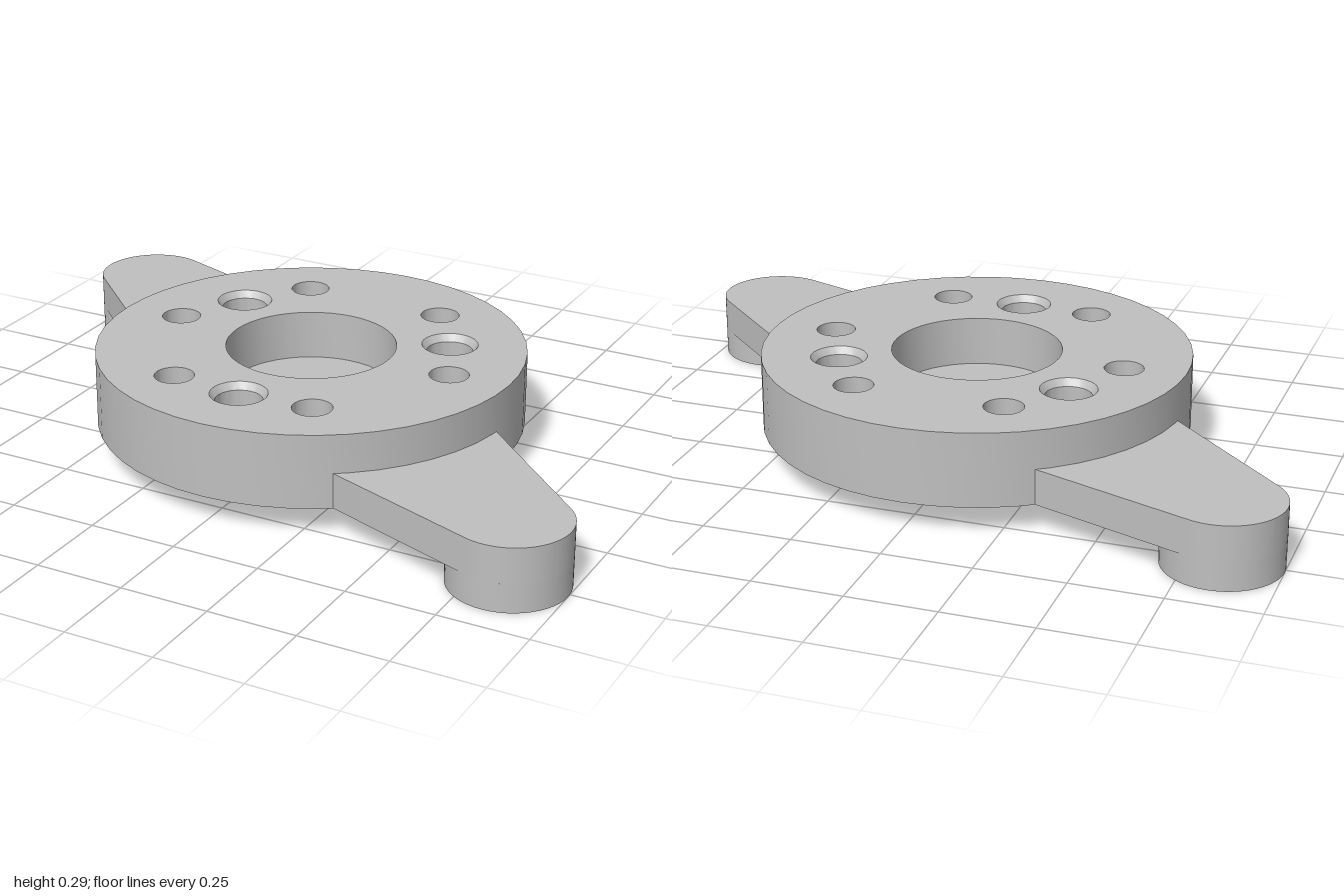
import * as THREE from 'three';
import { toCreasedNormals } from 'three/addons/utils/BufferGeometryUtils.js';

const TOP = 0.29, BASE = 0.08, ARM_TOP = 0.18, R = 0.603;
const rad = THREE.MathUtils.degToRad;

// Points [x, z] evenly spaced on a bolt circle
function boltCircle(count, radius, startDeg) {
  return Array.from({ length: count }, (_, i) => {
    const a = rad(startDeg + (i * 360) / count);
    return [radius * Math.cos(a), radius * Math.sin(a)];
  });
}

// Revolved surface; a rising profile faces outward, a falling one faces inward
function turned(profile, segments) {
  const points = profile.map(([r, y]) => new THREE.Vector2(r, y));
  return toCreasedNormals(new THREE.LatheGeometry(points, segments), 0.4);
}

// Round horizontal face with round openings given as [x, z, radius]
function face(openings, y, up) {
  const s = up ? -1 : 1;
  const shape = new THREE.Shape().absarc(0, 0, R, 0, Math.PI * 2, false);
  for (const [x, z, r] of openings) {
    shape.holes.push(new THREE.Path().absarc(x, s * z, r, 0, Math.PI * 2, true));
  }
  return new THREE.ShapeGeometry(shape, 24).rotateX((s * Math.PI) / 2).translate(0, y, 0);
}

export function createModel() {
  const metal = new THREE.MeshStandardMaterial({ color: 0xbfbfbf });
  metal.name = 'grey metal';
  const model = new THREE.Group();
  model.name = 'mountingHub';

  function add(parent, name, geometry, x = 0, z = 0) {
    const mesh = new THREE.Mesh(geometry, metal);
    mesh.name = name;
    mesh.position.set(x, 0, z);
    parent.add(mesh);
  }

  // Hub disc
  const through = boltCircle(6, 0.43, 1.3);
  const blind = boltCircle(3, 0.388, 91.5);
  const holeR = 0.055, counterR = 0.092, blindR = 0.079, recessR = 0.239;
  const hub = new THREE.Group();
  hub.name = 'hub';
  model.add(hub);
  add(hub, 'hubRim', turned([[R, BASE], [R, TOP]], 48));
  add(hub, 'hubTop', face([
    [0, 0, recessR],
    ...through.map(([x, z]) => [x, z, holeR]),
    ...blind.map(([x, z]) => [x, z, blindR]),
  ], TOP, true));
  add(hub, 'hubUnderside', face(through.map(([x, z]) => [x, z, counterR]), BASE, false));

  // Central recess
  add(hub, 'centreRecess', turned([[recessR, TOP], [recessR, 0.15], [0, 0.15]], 48));

  // Through holes, counterbored from below
  for (const [x, z] of through) {
    add(hub, 'throughHole', turned(
      [[holeR, TOP], [holeR, 0.175], [counterR, 0.175], [counterR, BASE]], 48), x, z);
  }

  // Chamfered blind holes
  for (const [x, z] of blind) {
    add(hub, 'blindHole', turned(
      [[blindR, TOP], [0.065, TOP - 0.02], [0.065, 0.19], [0, 0.19]], 48), x, z);
  }

  // Tapered arm with a rounded tip, tucked into the rim
  const bossX = 0.838, bossZ = 0.51, bossR = 0.162;
  const outline = new THREE.Shape();
  outline.moveTo(0.6, 0.06);
  outline.absarc(bossX, bossZ, bossR, rad(-46.7), rad(110), false);
  outline.lineTo(0.333, 0.5);
  outline.absarc(0, 0, 0.595, rad(56.3), rad(5.7), true);
  const armGeometry = toCreasedNormals(
    new THREE.ExtrudeGeometry(outline, { depth: ARM_TOP - BASE, bevelEnabled: false, curveSegments: 24 })
      .rotateX(Math.PI / 2).translate(0, ARM_TOP, 0), 0.4);

  // Foot under the tip, with a bolt hole closed by the arm
  const footGeometry = turned([[0.05, BASE], [0.05, 0], [bossR, 0], [bossR, BASE]], 48);

  // Two arms, half a turn apart
  for (const [i, name] of ['leftArm', 'rightArm'].entries()) {
    const arm = new THREE.Group();
    arm.name = name;
    arm.rotation.y = i * Math.PI;
    add(arm, 'armPlate', armGeometry);
    add(arm, 'foot', footGeometry, bossX, bossZ);
    model.add(arm);
  }

  return model;
}
